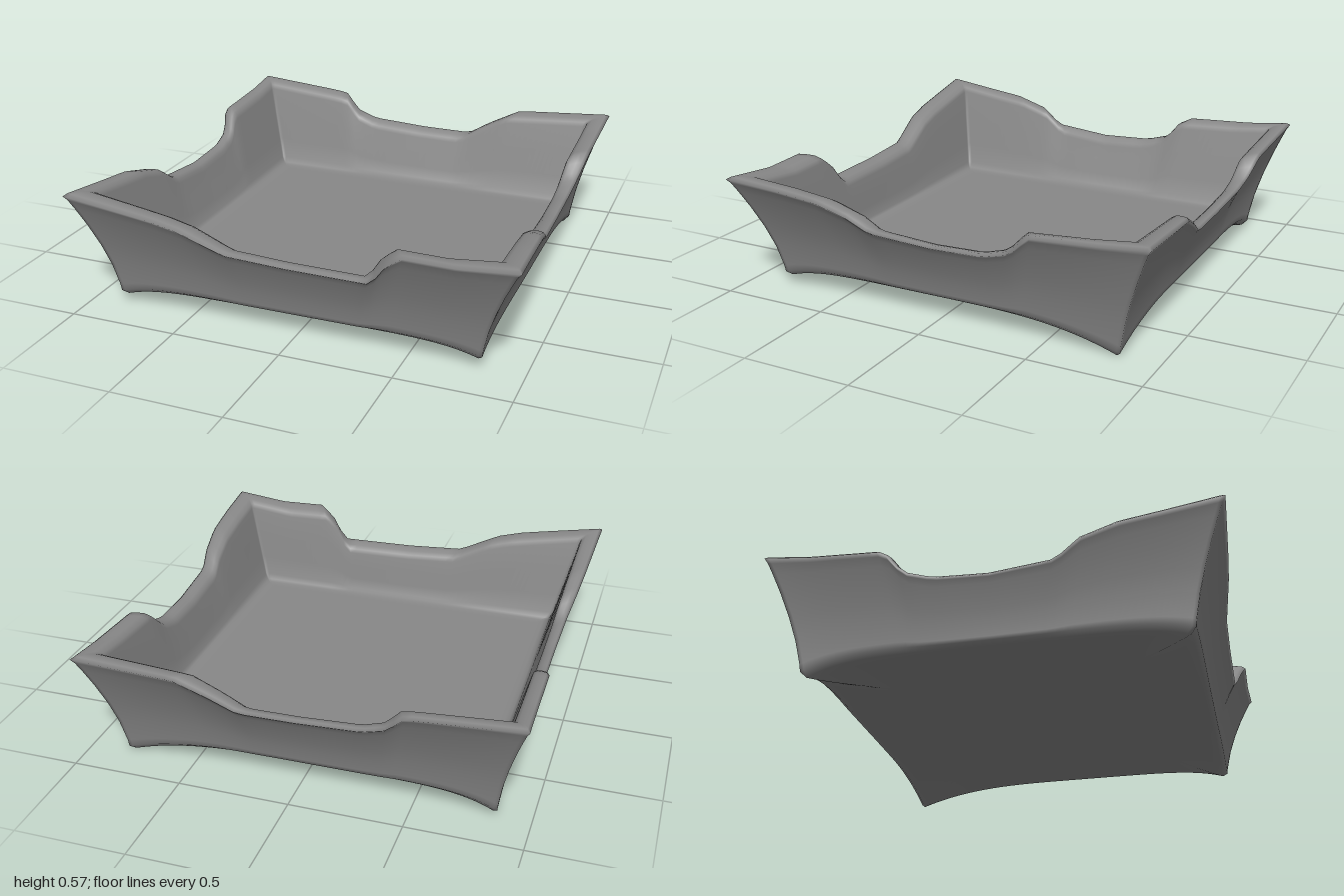
import * as THREE from 'three';

const SEG = 56; // samples per side
const UNDERSIDE = 0.082;
const FLOOR = 0.112;

// Corners in order: front right, front left, back left, back right
const rimCorners = [[-1, 0.57, 0.99], [1, 0.545, 0.97], [0.96, 0.545, -1], [-0.985, 0.55, -0.985]];
const lipCorners = [[-0.905, 0.53, 0.865], [0.885, 0.505, 0.85], [0.86, 0.505, -0.89], [-0.905, 0.51, -0.89]];
const baseCorners = [[-0.85, 0.045, 0.83], [0.82, 0.045, 0.82], [0.82, 0, -0.83], [-0.855, 0.022, -0.83]];
const floorCorners = [[-0.8, FLOOR, 0.785], [0.785, FLOOR, 0.785], [0.785, FLOOR, -0.795], [-0.8, FLOOR, -0.795]];
const droop = [6, 6, 3.2, 6]; // how locally each foot corner dips

// Rim height along each side: [position, height]
const rimHeights = [
  [[-1, 0.57], [-0.75, 0.53], [-0.6, 0.505], [-0.48, 0.475], [-0.28, 0.385], [0, 0.37], [0.38, 0.365], [0.43, 0.45], [0.52, 0.525], [0.75, 0.52], [1, 0.545]],
  [[-1, 0.545], [-0.75, 0.525], [-0.55, 0.5], [-0.4, 0.45], [-0.3, 0.39], [0, 0.37], [0.25, 0.375], [0.38, 0.41], [0.48, 0.505], [0.8, 0.525], [1, 0.545]],
  [[-1, 0.545], [-0.53, 0.515], [-0.38, 0.445], [-0.26, 0.378], [0, 0.38], [0.3, 0.395], [0.41, 0.43], [0.49, 0.51], [0.6, 0.52], [1, 0.55]],
  [[-1, 0.55], [-0.8, 0.53], [-0.46, 0.515], [-0.38, 0.42], [-0.25, 0.385], [0, 0.375], [0.29, 0.4], [0.4, 0.475], [0.57, 0.52], [0.75, 0.54], [1, 0.57]],
];

const mix = THREE.MathUtils.lerp;

function sample(table, t) {
  let i = 1;
  while (i < table.length - 1 && t > table[i][0]) i++;
  const [a, b] = [table[i - 1], table[i]];
  return mix(a[1], b[1], (t - a[0]) / (b[0] - a[0]));
}

// Point on a side between two corners, pushed outward by "push"
function sidePoint(corners, side, t, push) {
  const a = new THREE.Vector3(...corners[side]);
  const p = a.lerp(new THREE.Vector3(...corners[(side + 1) % 4]), (t + 1) / 2);
  const angle = side * Math.PI / 2;
  p.x += Math.sin(angle) * push;
  p.z += Math.cos(angle) * push;
  return p;
}

// One vertical section through underside, outer wall, rim, inner wall and floor
function section(side, t) {
  const height = sample(rimHeights[side], t);
  const sag = sidePoint(rimCorners, side, t, 0).y - height;
  const rim = sidePoint(rimCorners, side, t, -0.32 * sag).setY(height);
  const lip = sidePoint(lipCorners, side, t, -0.17 * sag).setY(height - 0.045);
  const foot = sidePoint(floorCorners, side, t, 0);

  const corner = t < 0 ? side : (side + 1) % 4;
  const base = sidePoint(baseCorners, side, t, 0);
  base.y = mix(0.09, baseCorners[corner][1], Math.abs(t) ** droop[corner]);

  const points = [];
  const scaled = (p, s, y) => points.push(new THREE.Vector3(p.x * s, y, p.z * s));
  const between = (a, b, f, y) => points.push(a.clone().lerp(b, f).setY(y));

  // Underside, drooping towards the corners
  for (const s of [0, 0.3, 0.6, 0.75, 0.86, 0.93, 0.975])
    scaled(base, s, mix(UNDERSIDE, base.y, THREE.MathUtils.smoothstep(s, 0.5, 1)));
  // Outer wall, flaring towards the rim
  for (const f of [0.04, 0.1, 0.3, 0.5, 0.7, 0.85, 0.94])
    between(base, rim, f ** 1.5, mix(base.y, rim.y, f));
  // Broad rounded rim
  between(rim, lip, 0, height - 0.01);
  between(rim, lip, 0.15, height);
  between(rim, lip, 0.4, height - 0.002);
  between(rim, lip, 0.7, height - 0.009);
  between(rim, lip, 0.92, height - 0.024);
  // Steep inner wall, soft fillet and flat floor
  for (const f of [0, 0.33, 0.67, 0.92])
    between(lip, foot, f, mix(lip.y, FLOOR, f));
  scaled(foot, 0.985, FLOOR + 0.008);
  scaled(foot, 0.96, FLOOR + 0.002);
  for (const s of [0.92, 0.6, 0.3, 0]) scaled(foot, s, FLOOR);
  return points;
}

function trayGeometry() {
  const sections = [];
  for (let side = 0; side < 4; side++)
    for (let i = 0; i < SEG; i++) {
      // Samples crowd slightly near the corners
      const u = -1 + 2 * i / SEG;
      sections.push(section(side, mix(u, Math.sin(u * Math.PI / 2), 0.5)));
    }
  const rows = sections[0].length;
  const count = sections.length;
  const positions = sections.flat().flatMap(p => p.toArray());
  const index = [];
  for (let i = 0; i < count; i++)
    for (let r = 0; r < rows - 1; r++) {
      const a = i * rows + r;
      const b = ((i + 1) % count) * rows + r;
      if (r > 0) index.push(a, b, b + 1);
      if (r < rows - 2) index.push(a, b + 1, a + 1);
    }
  const geometry = new THREE.BufferGeometry();
  geometry.setAttribute('position', new THREE.Float32BufferAttribute(positions, 3));
  geometry.setIndex(index);
  geometry.computeVertexNormals();
  return geometry;
}

export function createModel() {
  const group = new THREE.Group();
  group.name = 'tray';
  const material = new THREE.MeshStandardMaterial({ color: 0x888888 });
  const tray = new THREE.Mesh(trayGeometry(), material);
  tray.name = 'trayShell';
  group.add(tray);
  return group;
}
